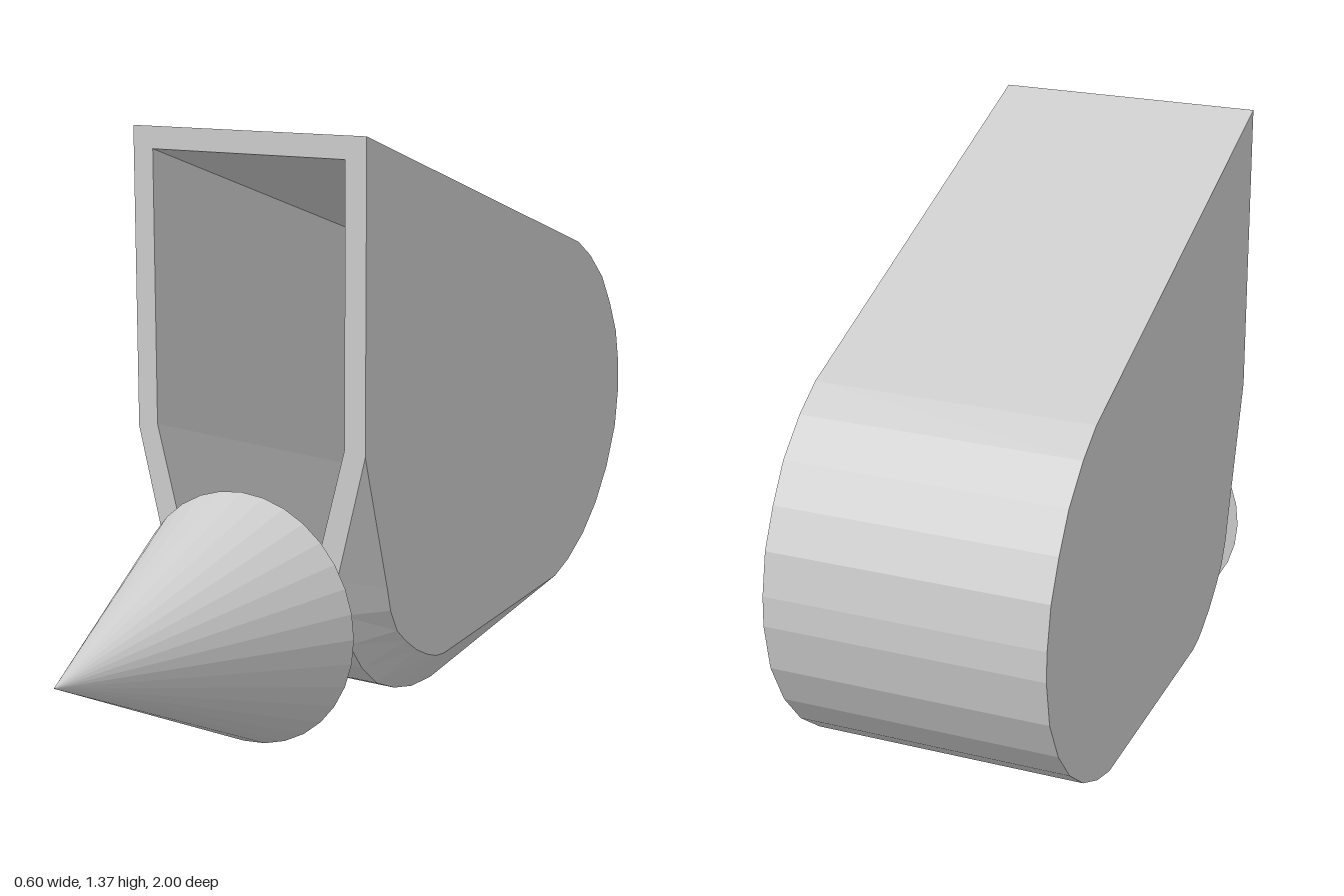
import * as THREE from 'three';
import { mergeVertices } from 'three/addons/utils/BufferGeometryUtils.js';

const material = new THREE.MeshStandardMaterial({ color: 0xcccccc, flatShading: true });
const HALF = 0.3, EDGE = 0.23, FRONT = 0.312;

// Profile points are [z, y], running from the top front over the back to the lower front.
const back = [
  [FRONT, 1.37], [-0.727, 1.037], [-0.8, 0.995], [-0.877, 0.93], [-0.93, 0.855], [-0.973, 0.775],
  [-0.995, 0.685], [-1, 0.62], [-0.985, 0.515], [-0.94, 0.415], [-0.877, 0.33], [-0.8, 0.262],
  [-0.715, 0.214], [-0.64, 0.188],
];
// Outer keel line and the matching lower border of the flat side.
const keel = [
  [-0.11, 0.06], [-0.02, 0.065], [0.06, 0.085], [0.14, 0.12], [0.205, 0.175], [0.26, 0.245],
  [0.29, 0.32], [FRONT, 0.405],
];
const sideBorder = [
  [-0.05, 0.15], [-0.01, 0.155], [0.03, 0.17], [0.08, 0.195], [0.13, 0.23], [0.17, 0.265],
  [0.2, 0.32], [0.215, 0.375],
];
const corner = [FRONT, 0.69];

const at = (x, list) => list.map(([z, y]) => new THREE.Vector3(x, y, z));

// Skin between two point rows of equal length, leaving out collapsed triangles.
function skin(a, b) {
  const pos = [];
  const tri = (...p) => {
    if (new THREE.Triangle(...p).getArea() > 1e-7) p.forEach((v) => pos.push(v.x, v.y, v.z));
  };
  for (let i = 0; i < a.length - 1; i++) {
    tri(a[i], a[i + 1], b[i + 1]);
    tri(a[i], b[i + 1], b[i]);
  }
  const g = new THREE.BufferGeometry();
  g.setAttribute('position', new THREE.Float32BufferAttribute(pos, 3));
  const merged = mergeVertices(g);
  merged.computeVertexNormals();
  return merged;
}

const shapeOf = (list) => new THREE.Shape(list.map(([x, y]) => new THREE.Vector2(x, y)));

export function createModel() {
  const model = new THREE.Group();
  const body = new THREE.Group();
  body.name = 'body';
  model.add(body);
  const add = (parent, name, geometry) => {
    const mesh = new THREE.Mesh(geometry, material);
    mesh.name = name;
    parent.add(mesh);
  };

  // Top, rounded back and underside
  const outerRow = (s) => [...at(s * HALF, back), ...at(s * EDGE, keel)];
  add(body, 'outerShell', skin(outerRow(1), outerRow(-1)));

  // Flat sides and the bevels along the lower front
  for (const s of [1, -1]) {
    const side = s > 0 ? 'left' : 'right';
    const outline = [...back, ...sideBorder, corner];
    const flat = new THREE.ShapeGeometry(shapeOf(outline.map(([z, y]) => [-s * z, y])));
    flat.rotateY(s * Math.PI / 2).translate(s * HALF, 0, 0);
    add(body, side + 'Side', flat);

    const rear = at(s * HALF, [back[back.length - 1]]);
    const tip = at(s * HALF, [corner]);
    const inner = [...rear, ...at(s * HALF, sideBorder), ...tip];
    const outer = [...rear, ...at(s * EDGE, keel), ...tip];
    add(body, side + 'Bevel', s > 0 ? skin(inner, outer) : skin(outer, inner));
  }

  // Front rim around the opening
  const opening = [[-0.185, 0.46], [0.185, 0.46], [0.248, 0.7], [0.248, 1.32], [-0.248, 1.32], [-0.248, 0.7]];
  const rim = shapeOf([
    [-EDGE, 0.405], [EDGE, 0.405], [HALF, corner[1]], [HALF, 1.37], [-HALF, 1.37], [-HALF, corner[1]],
  ]);
  rim.holes.push(shapeOf(opening));
  add(body, 'frontRim', new THREE.ShapeGeometry(rim).translate(0, 0, FRONT));

  // Cavity running back and downward, parallel to the sloping top
  const drop = -0.26, depth = -0.82;
  const mouth = [...opening, opening[0]].map(([x, y]) => new THREE.Vector3(x, y, FRONT));
  const end = mouth.map((p) => p.clone().add(new THREE.Vector3(0, drop, depth)));
  add(body, 'cavityWalls', skin(mouth, end));
  add(body, 'cavityBack', new THREE.ShapeGeometry(shapeOf(opening)).translate(0, drop, FRONT + depth));

  // Pointed cone in front, its tip slightly raised
  const length = 0.66;
  const cone = new THREE.ConeGeometry(0.29, length, 32);
  cone.translate(0, length / 2, 0).rotateX(Math.PI / 2);
  const p = cone.attributes.position;
  for (let i = 0; i < p.count; i++) p.setY(i, p.getY(i) + 0.035 * p.getZ(i) / length);
  cone.translate(0, 0.29, 1 - length);
  cone.computeVertexNormals();
  add(model, 'frontCone', cone);

  return model;
}
